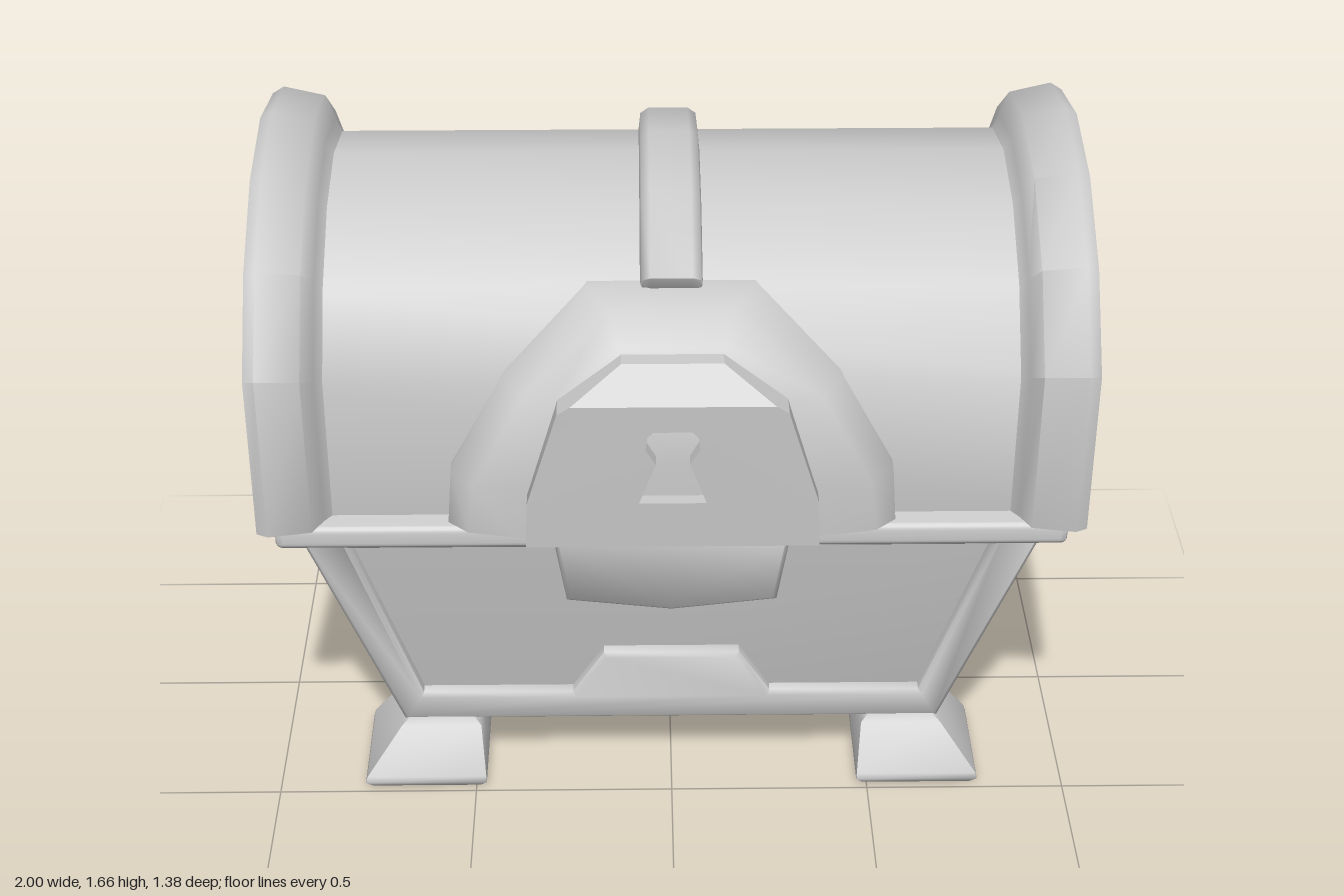
import * as THREE from 'three';
import { toCreasedNormals } from 'three/addons/utils/BufferGeometryUtils.js';
import { RoundedBoxGeometry } from 'three/addons/geometries/RoundedBoxGeometry.js';

const grey = new THREE.MeshStandardMaterial({ color: 0xcccccc });

function part(name, geometry, crease = 1) {
  const mesh = new THREE.Mesh(toCreasedNormals(geometry, crease), grey);
  mesh.name = name;
  return mesh;
}

// Skin a row of closed rings ([x, y, z] points) and cap both ends.
function loft(rings) {
  const n = rings[0].length;
  const pos = rings.flat(2);
  const index = [];
  for (let i = 0; i < rings.length - 1; i++) {
    for (let j = 0; j < n; j++) {
      const a = i * n + j, b = i * n + (j + 1) % n;
      index.push(a, b, b + n, a, b + n, a + n);
    }
  }
  for (const end of [0, rings.length - 1]) {
    const centre = pos.length / 3;
    for (let k = 0; k < 3; k++) pos.push(rings[end].reduce((s, p) => s + p[k], 0) / n);
    for (let j = 0; j < n; j++) {
      const a = end * n + j, b = end * n + (j + 1) % n;
      if (end) index.push(centre, a, b); else index.push(centre, b, a);
    }
  }
  const g = new THREE.BufferGeometry();
  g.setAttribute('position', new THREE.Float32BufferAttribute(pos, 3));
  g.setIndex(index);
  return g;
}

// Horizontal rectangle ring
function rect(y, xa, xb, za, zb) {
  const x0 = Math.min(xa, xb), x1 = Math.max(xa, xb);
  const z0 = Math.min(za, zb), z1 = Math.max(za, zb);
  return [[x0, y, z1], [x1, y, z1], [x1, y, z0], [x0, y, z0]];
}

// Mirror the right half of an outline to a closed one
const mirror = (half) => [
  ...half, ...half.filter(p => p[0] > 0).reverse().map(([x, ...r]) => [-x, ...r])];
const points = (list) => list.map(([x, y]) => new THREE.Vector2(x, y));

// Extrude an outline with holes, then lean every vertex in z by a rule of y
function plate(outline, holes, z, depth, bevel, lean) {
  const shape = new THREE.Shape(points(outline));
  for (const h of holes) shape.holes.push(new THREE.Path(points(h)));
  const g = new THREE.ExtrudeGeometry(shape, {
    depth: depth - bevel, bevelEnabled: bevel > 0, bevelSize: bevel,
    bevelOffset: -bevel, bevelThickness: bevel, bevelSegments: 1,
  });
  const p = g.attributes.position;
  for (let i = 0; i < p.count; i++) p.setZ(i, p.getZ(i) + z + lean(p.getY(i)));
  return g;
}

// Lid cross-section (z, y), scaled about the middle of its lower edge
const lidProfile = [[0.59, 0.815], [-0.65, 0.815], [-0.69, 1.26], [-0.53, 1.47],
  [-0.3, 1.61], [-0.02, 1.66], [0.25, 1.61], [0.48, 1.47], [0.635, 1.26]];
const lidRing = (x, s) => lidProfile.map(([z, y]) =>
  [x, 0.815 + (y - 0.815) * (1 - 0.79 * (1 - s)), -0.03 + (z + 0.03) * s]);

function createLid() {
  const lid = new THREE.Group();
  lid.name = 'lid';
  lid.add(part('lidBarrel', loft([lidRing(-0.965, 0.835), lidRing(0.965, 0.835)]), 0.8));

  // End bands: a rounded section (x, scale) swept over the arch, open below
  const section = [[0.8, 0.8], [0.825, 0.835], [0.843, 0.88], [0.868, 0.967],
    [0.972, 1], [1, 0.975], [0.997, 0.93], [0.975, 0.86], [0.96, 0.8]];
  for (const side of [-1, 1]) {
    const hoops = section.map(([x, s]) => lidRing(side * x, s));
    if (side < 0) hoops.reverse();
    const sweep = [0, 8, 7, 6, 5, 4, 3, 2, 1].map(i => hoops.map(h => h[i]));
    lid.add(part(side > 0 ? 'leftEndBand' : 'rightEndBand', loft(sweep)));
  }

  // Middle strap, from the lock arch over to the back
  const strap = [[-0.075, 0.83], [-0.07, 0.895], [-0.05, 0.915], [0.05, 0.915], [0.07, 0.895], [0.075, 0.83]];
  lid.add(part('middleStrap', loft(strap.map(([x, s]) => [...lidRing(x, s).slice(1, 8), [x, 1.37, 0.41]]))));

  // Stepped arch around the lock
  const arch = [
    [[0.54, 0.825, 0.3], [0.53, 0.97, 0.3], [0.4, 1.22, 0.3], [0.2, 1.39, 0.3]],
    [[0.54, 0.825, 0.54], [0.53, 0.97, 0.545], [0.4, 1.22, 0.53], [0.2, 1.395, 0.415]],
    [[0.49, 0.825, 0.59], [0.475, 0.96, 0.6], [0.355, 1.19, 0.595], [0.15, 1.365, 0.48]],
    [[0.37, 0.825, 0.615], [0.36, 0.96, 0.62], [0.285, 1.19, 0.62], [0.13, 1.31, 0.575]],
    [[0.3, 0.83, 0.63], [0.29, 0.95, 0.64], [0.22, 1.15, 0.65], [0.1, 1.22, 0.62]],
  ].map(mirror);
  lid.add(part('lockArch', loft(arch)));

  // Lock plate pierced by a keyhole, with a brow sloping back above it
  const face = mirror([[0.35, 0.825], [0.345, 0.95], [0.27, 1.2], [0.24, 1.22]]);
  const keyhole = mirror([[0.08, 0.95], [0.04, 1.06], [0.064, 1.1], [0.06, 1.135], [0.045, 1.15]]);
  lid.add(part('lockPlate', plate(face, [keyhole], 0.55, 0.11, 0, y => 0.08 * (y - 0.825)), 0.4));
  const brow = mirror([[0.24, 1.22], [0.12, 1.3]]);
  lid.add(part('lockBrow', plate(brow, [], 0.55, 0.11, 0, y => 0.0316 - 0.8 * (y - 1.22)), 0.4));
  return lid;
}

function createBase() {
  const base = new THREE.Group();
  base.name = 'base';

  // Tub, set back at the front behind the frame
  base.add(part('tub', loft([rect(0.15, -0.665, 0.665, 0.355, -0.385), rect(0.165, -0.685, 0.685, 0.36, -0.405),
    rect(0.76, -0.9, 0.9, 0.477, -0.52)]), 0.3));

  // Sloping front frame with a raised trapezoid at the foot
  const slope = (y) => 0.197 * (y - 0.155);
  const frame = mirror([[0.682, 0.15], [0.908, 0.775]]);
  const opening = mirror([[0.17, 0.375], [0.25, 0.24], [0.63, 0.24], [0.785, 0.73]]);
  base.add(part('frontFrame', plate(frame, [opening], 0.3, 0.1, 0.012, slope)));

  // Hasp plate below the lock
  const hasp = mirror([[0, 0.522], [0.26, 0.555], [0.29, 0.76]]);
  base.add(part('haspPlate', plate(hasp, [], 0.3, 0.1, 0.012, slope)));

  // Rounded rim
  const rim = part('rim', new RoundedBoxGeometry(1.93, 0.062, 1.08, 3, 0.018));
  rim.position.set(0, 0.769, -0.015);
  base.add(rim);

  // Four flared feet
  for (const sx of [-1, 1]) for (const sz of [-1, 1]) {
    const ring = (y, x0, x1, z0, z1) => rect(y, sx * x0, sx * x1, sz * z0, sz * z1);
    base.add(part((sz > 0 ? 'front' : 'back') + (sx > 0 ? 'Left' : 'Right') + 'Foot', loft([
      ring(0, 0.49, 0.765, 0.2, 0.475), ring(0.02, 0.473, 0.782, 0.183, 0.492),
      ring(0.035, 0.474, 0.778, 0.184, 0.488), ring(0.14, 0.487, 0.69, 0.2, 0.41),
      ring(0.157, 0.505, 0.67, 0.215, 0.395)])));
  }
  return base;
}

export function createModel() {
  const chest = new THREE.Group();
  chest.name = 'chest';
  chest.add(createBase(), createLid());
  return chest;
}
